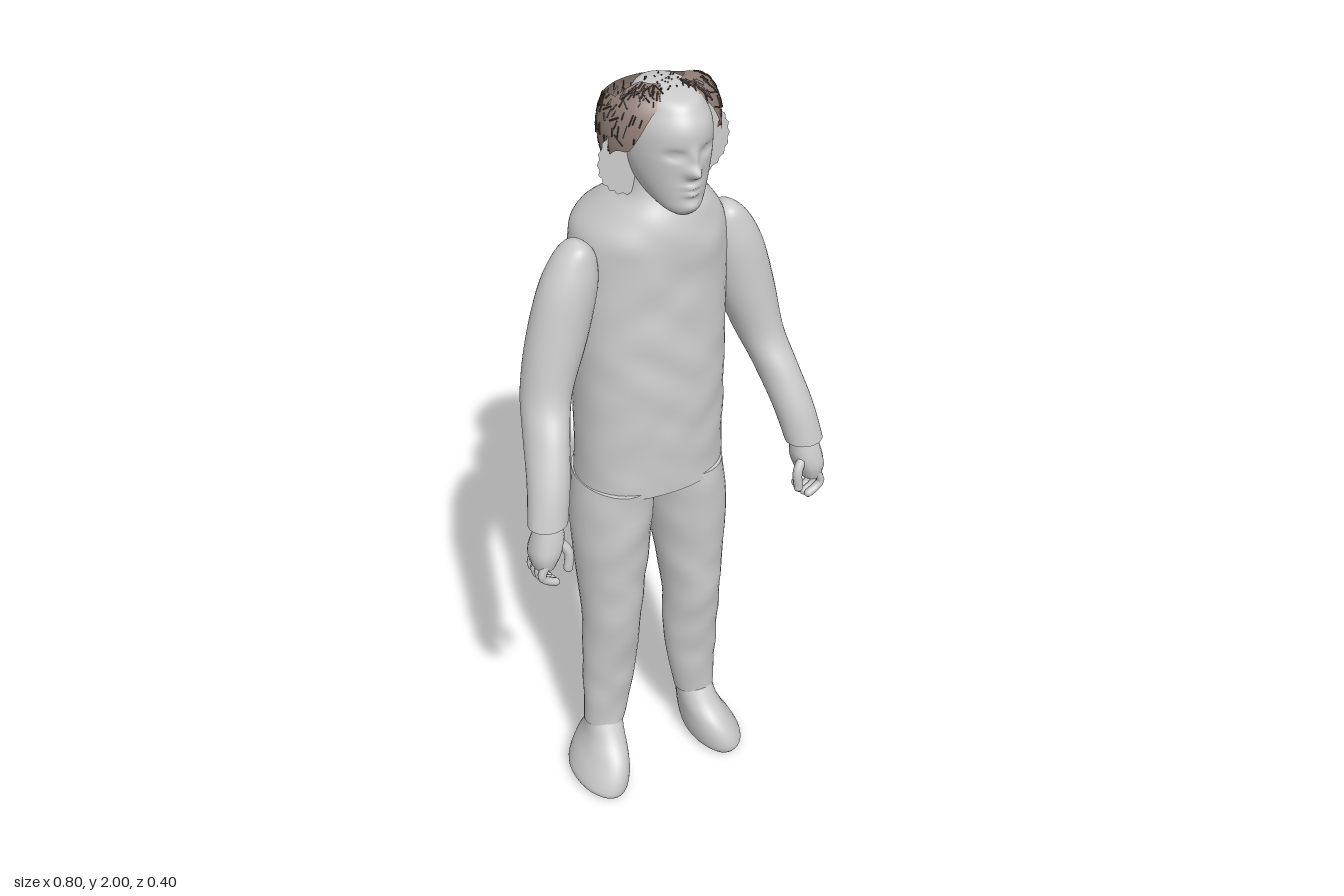
import * as THREE from 'three';
import { mergeGeometries } from 'three/addons/utils/BufferGeometryUtils.js';

const CX = 0.022; // head and torso midline

const grey = new THREE.MeshStandardMaterial({ color: 0xcccccc });
grey.name = 'grey';
const greySheet = new THREE.MeshStandardMaterial({ color: 0xcccccc, side: THREE.DoubleSide });
greySheet.name = 'grey sheet';
const hairBrown = new THREE.MeshStandardMaterial({ color: 0x8f7d75, side: THREE.DoubleSide });
hairBrown.name = 'hair brown';
const strandDark = new THREE.MeshStandardMaterial({ color: 0x4a3f3a });
strandDark.name = 'strand dark';

let seed = 7;
const rnd = () => (seed = (seed * 16807) % 2147483647) / 2147483647;

function part(name, geometry, material) {
  const mesh = new THREE.Mesh(geometry, material);
  mesh.name = name;
  return mesh;
}

// Smooth value of one section column at parameter t (0..1)
function sample(sections, t, k) {
  const n = sections.length - 1, f = Math.min(t * n, n - 1e-6), i = Math.floor(f), u = f - i;
  const at = (j) => sections[Math.min(Math.max(j, 0), n)][k];
  const a = at(i - 1), b = at(i), c = at(i + 1), d = at(i + 2);
  return b + 0.5 * u * (c - a + u * (2 * a - 5 * b + 4 * c - d + u * (3 * (b - c) + d - a)));
}

// Loft of rounded sections listed bottom up: [y, xMin, xMax, zBack, zFront]
function loft(sections, { sides = 32, rows = 32, power = 2, shape } = {}) {
  const pos = [], idx = [], e = 2 / power;
  const soft = (v) => Math.sign(v) * Math.abs(v) ** e;
  for (let r = 0; r <= rows; r++) {
    const [y, x0, x1, z0, z1] = [0, 1, 2, 3, 4].map((k) => sample(sections, r / rows, k));
    for (let s = 0; s < sides; s++) {
      const a = (s / sides) * Math.PI * 2;
      const p = new THREE.Vector3((x0 + x1) / 2 + ((x1 - x0) / 2) * soft(Math.sin(a)), y,
        (z0 + z1) / 2 + ((z1 - z0) / 2) * soft(Math.cos(a)));
      if (shape) shape(p);
      pos.push(p.x, p.y, p.z);
      if (r < rows) {
        const i = r * sides + s, j = r * sides + ((s + 1) % sides);
        idx.push(i, j, i + sides, j, j + sides, i + sides);
      }
    }
  }
  // End caps with their own vertices, so the rims stay sharp
  for (const [row, up] of [[0, false], [rows, true]]) {
    const base = pos.length / 3, from = row * sides * 3;
    const c = [0, 0, 0];
    for (let s = 0; s < sides; s++) for (let k = 0; k < 3; k++) {
      const v = pos[from + s * 3 + k];
      pos.push(v);
      c[k] += v / sides;
    }
    pos.push(...c);
    for (let s = 0; s < sides; s++) {
      const i = base + s, j = base + ((s + 1) % sides), m = base + sides;
      idx.push(...(up ? [i, j, m] : [j, i, m]));
    }
  }
  const g = new THREE.BufferGeometry();
  g.setAttribute('position', new THREE.Float32BufferAttribute(pos, 3));
  g.setIndex(idx);
  g.computeVertexNormals();
  return g;
}

// Sections below are for the +x side; side = -1 mirrors them
const mirror = (sections, side) => sections.map(([y, a, b, z0, z1]) =>
  side > 0 ? [y, a, b, z0, z1] : [y, -b, -a, z0, z1]);

const torso = [
  [0.965, -0.185, 0.19, -0.145, 0.125], [1.1, -0.182, 0.19, -0.15, 0.128], [1.25, -0.178, 0.192, -0.158, 0.13],
  [1.4, -0.175, 0.195, -0.172, 0.125], [1.52, -0.17, 0.2, -0.183, 0.12], [1.6, -0.165, 0.2, -0.195, 0.122],
  [1.65, -0.15, 0.185, -0.19, 0.12], [1.7, -0.105, 0.15, -0.13, 0.11], [1.745, -0.062, 0.108, -0.055, 0.09],
  [1.8, -0.05, 0.095, -0.04, 0.07],
];
const arm = [
  [1.025, 0.3, 0.396, 0.11, 0.195], [1.12, 0.278, 0.378, 0.07, 0.175], [1.22, 0.252, 0.356, 0.0, 0.135],
  [1.3, 0.222, 0.34, -0.038, 0.095], [1.42, 0.175, 0.318, -0.048, 0.085], [1.54, 0.145, 0.285, -0.045, 0.078],
  [1.61, 0.145, 0.25, -0.035, 0.065], [1.645, 0.165, 0.218, -0.018, 0.052], [1.657, 0.188, 0.194, 0.012, 0.024],
];
const leg = [
  [0.175, 0.083, 0.192, -0.045, 0.05], [0.3, 0.058, 0.194, -0.05, 0.06], [0.42, 0.045, 0.194, -0.058, 0.074],
  [0.55, 0.042, 0.192, -0.07, 0.095], [0.68, 0.025, 0.199, -0.09, 0.1], [0.8, 0.012, 0.205, -0.112, 0.11],
  [0.9, 0.003, 0.2, -0.13, 0.115], [0.98, 0.001, 0.188, -0.136, 0.115],
];
const foot = [
  [0, 0.125, 0.225, -0.06, 0.14], [0.02, 0.108, 0.245, -0.08, 0.152], [0.06, 0.1, 0.23, -0.084, 0.145],
  [0.1, 0.097, 0.208, -0.08, 0.122], [0.14, 0.093, 0.193, -0.062, 0.08], [0.19, 0.09, 0.185, -0.042, 0.045],
];
const palm = [
  [0.915, 0.342, 0.392, 0.115, 0.192], [0.95, 0.326, 0.398, 0.11, 0.2], [0.99, 0.314, 0.39, 0.118, 0.195],
  [1.035, 0.32, 0.375, 0.13, 0.185],
];
const headRows = [
  [1.722, 0.022, 0.095, 0.135], [1.738, 0.045, 0.04, 0.15], [1.77, 0.068, -0.03, 0.153], [1.82, 0.087, -0.075, 0.154],
  [1.87, 0.094, -0.09, 0.158], [1.92, 0.09, -0.09, 0.16], [1.955, 0.075, -0.065, 0.145], [1.982, 0.056, -0.042, 0.118],
  [1.994, 0.014, 0.01, 0.05],
].map(([y, w, z0, z1]) => [y, CX - w, CX + w, z0, z1]);

// Face relief: [x, y, depth, spreadX, spreadY]
const relief = [
  [0, 1.834, 0.029, 0.016, 0.015], [0, 1.865, 0.011, 0.01, 0.022], [0, 1.797, 0.01, 0.02, 0.006],
  [0, 1.78, 0.01, 0.017, 0.006], [0, 1.748, 0.006, 0.02, 0.012], [-0.038, 1.874, -0.012, 0.018, 0.011],
  [0.038, 1.874, -0.012, 0.018, 0.011], [-0.038, 1.874, 0.006, 0.01, 0.005], [0.038, 1.874, 0.006, 0.01, 0.005],
];
function sculptFace(p) {
  if (p.z < 0.06) return;
  for (const [x, y, d, sx, sy] of relief)
    p.z += d * Math.exp(-(((p.x - CX - x) / sx) ** 2) - ((p.y - y) / sy) ** 2);
}

// Gentle cloth wrinkles
function wrinkle(p) {
  p.z += 0.0015 * (Math.sin(p.y * 47 + 2 * Math.sin(p.x * 23)) + Math.sin(p.x * 41 + 3 * Math.sin(p.y * 19)));
}

function makeHand(side) {
  const hand = new THREE.Group();
  hand.name = side > 0 ? 'leftHand' : 'rightHand';
  hand.add(part('palm', loft(mirror(palm, side), { sides: 16, rows: 10, power: 2.4 }), grey));
  const digit = (name, pts, r) => {
    const path = new THREE.CatmullRomCurve3(pts.map(([x, y, z]) => new THREE.Vector3(side * x, y, z)));
    const tip = new THREE.SphereGeometry(r, 8, 6).translate(...path.getPoint(1).toArray());
    hand.add(part(name, mergeGeometries([new THREE.TubeGeometry(path, 8, r, 8), tip]), grey));
  };
  [0.126, 0.146, 0.166, 0.185].forEach((z, i) => {
    const end = 0.86 + 0.006 * Math.abs(i - 1);
    digit('finger', [[0.372, 0.93, z], [0.384, 0.9, z], [0.374, end + 0.014, z], [0.35, end, z]], 0.0105);
  });
  digit('thumb', [[0.335, 0.985, 0.175], [0.314, 0.95, 0.186], [0.317, 0.905, 0.188]], 0.012);
  return hand;
}

// Hair surface: azimuth a from the front, elevation e
function hairPoint(a, e, grow = 1) {
  const c = Math.cos(e) ** (e > 0 ? 0.45 : 1);
  return new THREE.Vector3(CX + 0.139 * grow * c * Math.sin(a), 1.885 + (e > 0 ? 0.112 : 0.15) * grow * Math.sin(e),
    0.007 + 0.122 * grow * c * Math.cos(a));
}
const smooth = THREE.MathUtils.smoothstep;
const hairTop = (a) => 1.45 - 0.55 * smooth(Math.abs(a), 1.3, 1.5) - 0.28 * smooth(Math.abs(a), 1.6, 2.4);
const hairLow = (a) => 0.85 - 0.95 * smooth(Math.abs(a), 0.4, 1) - 0.7 * smooth(Math.abs(a), 1.1, 2.1);
const HAIR_START = 0.42;
const wrap = (a) => (a > Math.PI ? a - Math.PI * 2 : a);
const azimuth = (u) => wrap(HAIR_START + u * (Math.PI * 2 - HAIR_START * 2));

function makeHair() {
  const hair = new THREE.Group();
  hair.name = 'hair';
  const pos = [], idx = [], cols = 72, rows = 16;
  for (let i = 0; i <= cols; i++) for (let j = 0; j <= rows; j++) {
    const a = azimuth(i / cols);
    pos.push(...hairPoint(a, THREE.MathUtils.lerp(hairLow(a), hairTop(a), j / rows)).toArray());
    if (i < cols && j < rows) {
      const p = i * (rows + 1) + j, q = p + rows + 1;
      idx.push(p, q, p + 1, q, q + 1, p + 1);
    }
  }
  const shell = new THREE.BufferGeometry();
  shell.setAttribute('position', new THREE.Float32BufferAttribute(pos, 3));
  shell.setIndex(idx);
  shell.computeVertexNormals();
  hair.add(part('hairShell', shell, hairBrown));

  // Short dark strands lying over the shell, denser towards its upper rim
  const strands = [];
  const addStrand = (from, to, width) => {
    const dir = to.clone().sub(from), len = dir.length();
    const turn = new THREE.Quaternion().setFromUnitVectors(new THREE.Vector3(0, 1, 0), dir.normalize());
    const mid = from.clone().add(to).multiplyScalar(0.5);
    strands.push(new THREE.BoxGeometry(width, len, width).applyQuaternion(turn).translate(mid.x, mid.y, mid.z));
  };
  for (let i = 0; i < 230; i++) {
    const a = azimuth(rnd());
    const e = THREE.MathUtils.lerp(hairLow(a) + 0.1, hairTop(a), rnd() ** 0.6);
    const tilt = rnd() < 0.7 ? 0.1 : 0.5;
    addStrand(hairPoint(a, e, 1.004), hairPoint(a + (rnd() - 0.5) * tilt, e - 0.1 - rnd() * 0.16, 1.012), 0.0026);
  }
  // Stubble on the bare crown
  for (let i = 0; i < 26; i++) {
    const from = new THREE.Vector3(CX + (rnd() - 0.5) * 0.07, 1.986, -0.01 + rnd() * 0.09);
    addStrand(from, from.clone().add(new THREE.Vector3((rnd() - 0.5) * 0.014, 0.01, (rnd() - 0.5) * 0.014)), 0.002);
  }
  hair.add(part('hairStrands', mergeGeometries(strands), strandDark));
  return hair;
}

// Thin ragged sheet beside the face
function makeSheet(side) {
  const pts = [[0.06, 1.9]];
  for (let i = 0; i <= 22; i++) {
    const t = Math.PI * (0.5 - i / 22), r = i % 2 ? 1 : 0.94;
    pts.push([0.08 + 0.084 * r * Math.cos(t), 1.832 + 0.09 * r * Math.sin(t)]);
  }
  pts.push([0.06, 1.76]);
  const shape = new THREE.Shape(pts.map(([x, y]) => new THREE.Vector2(CX + side * x, y)));
  return part('sideSheet', new THREE.ShapeGeometry(shape).translate(0, 0, 0.03), greySheet);
}

export function createModel() {
  const model = new THREE.Group();
  model.name = 'standingFigure';
  model.add(part('torso', loft(torso, { sides: 56, rows: 48, power: 2.2, shape: wrinkle }), grey));
  for (const side of [1, -1]) {
    const name = side > 0 ? 'left' : 'right';
    model.add(part(name + 'Arm', loft(mirror(arm, side)), grey));
    model.add(part(name + 'Leg', loft(mirror(leg, side), { shape: wrinkle }), grey));
    model.add(part(name + 'Foot', loft(mirror(foot, side), { rows: 20 }), grey));
    model.add(makeHand(side), makeSheet(side));
  }
  model.add(part('head', loft(headRows, { sides: 96, rows: 72, shape: sculptFace }), grey));

  // Low scalp filling the back of the hair ring
  const scalp = new THREE.SphereGeometry(1, 32, 12, 0, Math.PI, 0, Math.PI / 2);
  scalp.rotateY(Math.PI).scale(0.128, 0.065, 0.125).translate(CX, 1.885, 0.02);
  model.add(part('scalp', scalp, greySheet));
  model.add(makeHair());
  return model;
}
